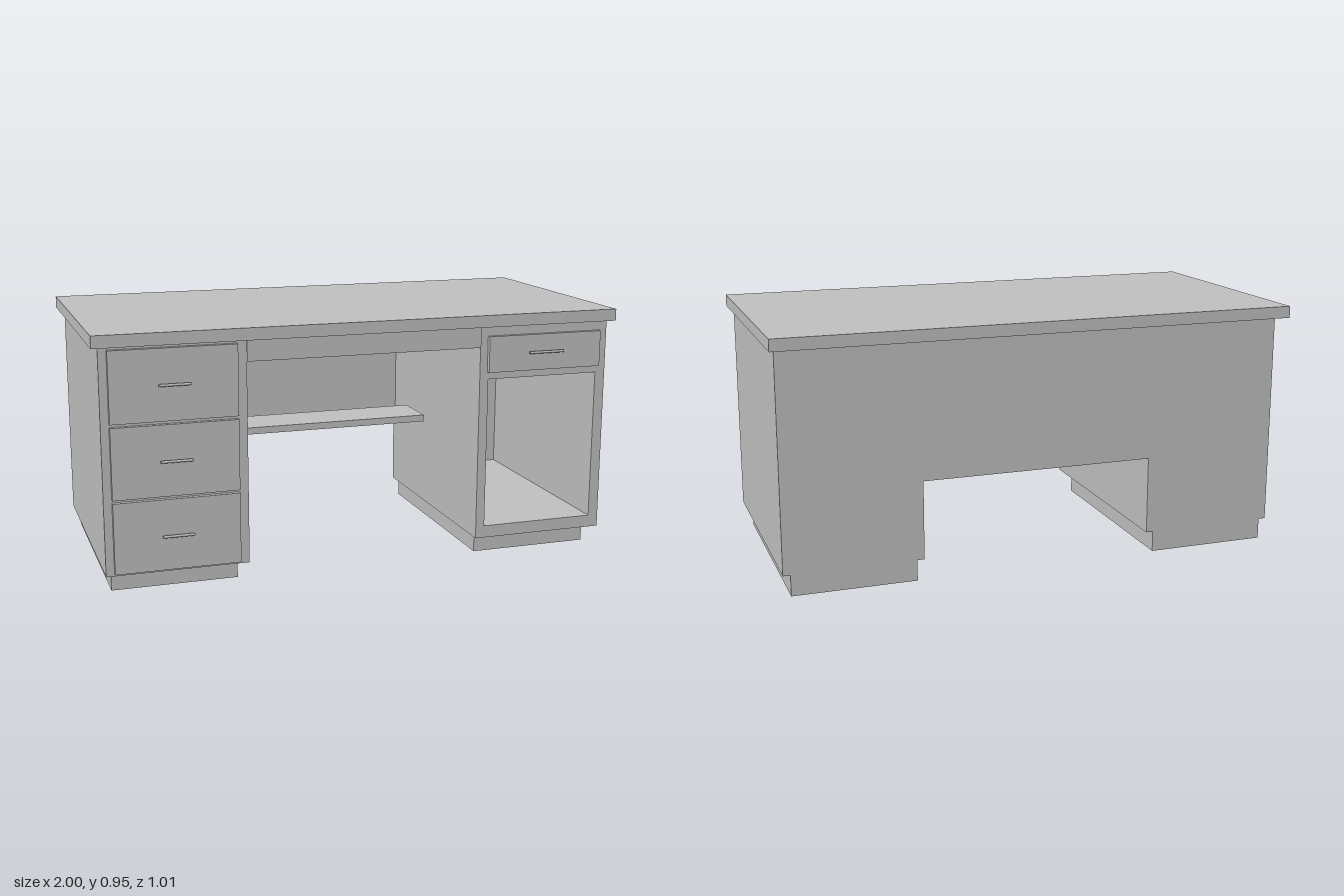
import * as THREE from 'three';

export function createModel() {
  const desk = new THREE.Group();
  desk.name = 'desk';
  const grey = new THREE.MeshStandardMaterial({ color: 0xc0c0c0 });
  grey.name = 'light grey';

  // Box given by its two extents on each axis
  function box(name, x0, x1, y0, y1, z0, z1, parent = desk) {
    const mesh = new THREE.Mesh(new THREE.BoxGeometry(x1 - x0, y1 - y0, z1 - z0), grey);
    mesh.position.set((x0 + x1) / 2, (y0 + y1) / 2, (z0 + z1) / 2);
    mesh.name = name;
    parent.add(mesh);
    return mesh;
  }

  // Thin bar pull on two short posts
  function handle(x, y, width) {
    const pull = new THREE.Group();
    pull.name = 'handle';
    const bar = new THREE.Mesh(new THREE.CylinderGeometry(0.005, 0.005, width, 12), grey);
    bar.rotation.z = Math.PI / 2;
    bar.position.set(x, y, 0.5);
    bar.name = 'handleBar';
    pull.add(bar);
    for (const side of [-1, 1]) {
      const post = new THREE.Mesh(new THREE.CylinderGeometry(0.003, 0.003, 0.018, 8), grey);
      post.rotation.x = Math.PI / 2;
      post.position.set(x + side * width * 0.38, y, 0.492);
      post.name = 'handlePost';
      pull.add(post);
    }
    desk.add(pull);
  }

  const back = -0.44, front = 0.47, faceFront = 0.487;

  // Worktop
  box('worktop', -1, 1, 0.907, 0.952, -0.505, 0.495);

  // Drawer pedestal with three equal drawers
  box('drawerPedestal', -0.975, -0.45, 0.08, 0.907, back, front);
  [[0.09, 0.352, 0.218], [0.363, 0.624, 0.493], [0.636, 0.896, 0.767]].forEach(([y0, y1, y]) => {
    box('drawerFront', -0.945, -0.485, y0, y1, front, faceFront);
    handle(-0.715, y, 0.115);
  });

  // Cupboard pedestal: an open compartment under one small drawer
  const cupboard = new THREE.Group();
  cupboard.name = 'cupboardPedestal';
  desk.add(cupboard);
  box('innerSide', 0.45, 0.485, 0.08, 0.907, back, front, cupboard);
  box('outerSide', 0.935, 0.975, 0.08, 0.907, back, front, cupboard);
  box('cupboardFloor', 0.485, 0.935, 0.08, 0.127, back, front, cupboard);
  box('drawerHousing', 0.485, 0.935, 0.705, 0.907, back, front, cupboard);
  box('cupboardBack', 0.485, 0.935, 0.127, 0.705, back, back + 0.02, cupboard);
  box('drawerFront', 0.48, 0.942, 0.733, 0.87, front, faceFront);
  handle(0.71, 0.803, 0.14);

  // Recessed plinths
  for (const side of [-1, 1]) {
    const x = side * 0.7125;
    box('plinth', x - 0.235, x + 0.235, 0, 0.08, back, 0.395);
  }

  // Kneehole: front apron, back panel and shelf
  box('apron', -0.45, 0.45, 0.828, 0.907, 0.455, 0.475);
  box('backPanel', -0.45, 0.45, 0.38, 0.907, back, back + 0.02);
  box('kneeholeShelf', -0.437, 0.437, 0.428, 0.455, -0.25, -0.05);

  return desk;
}
